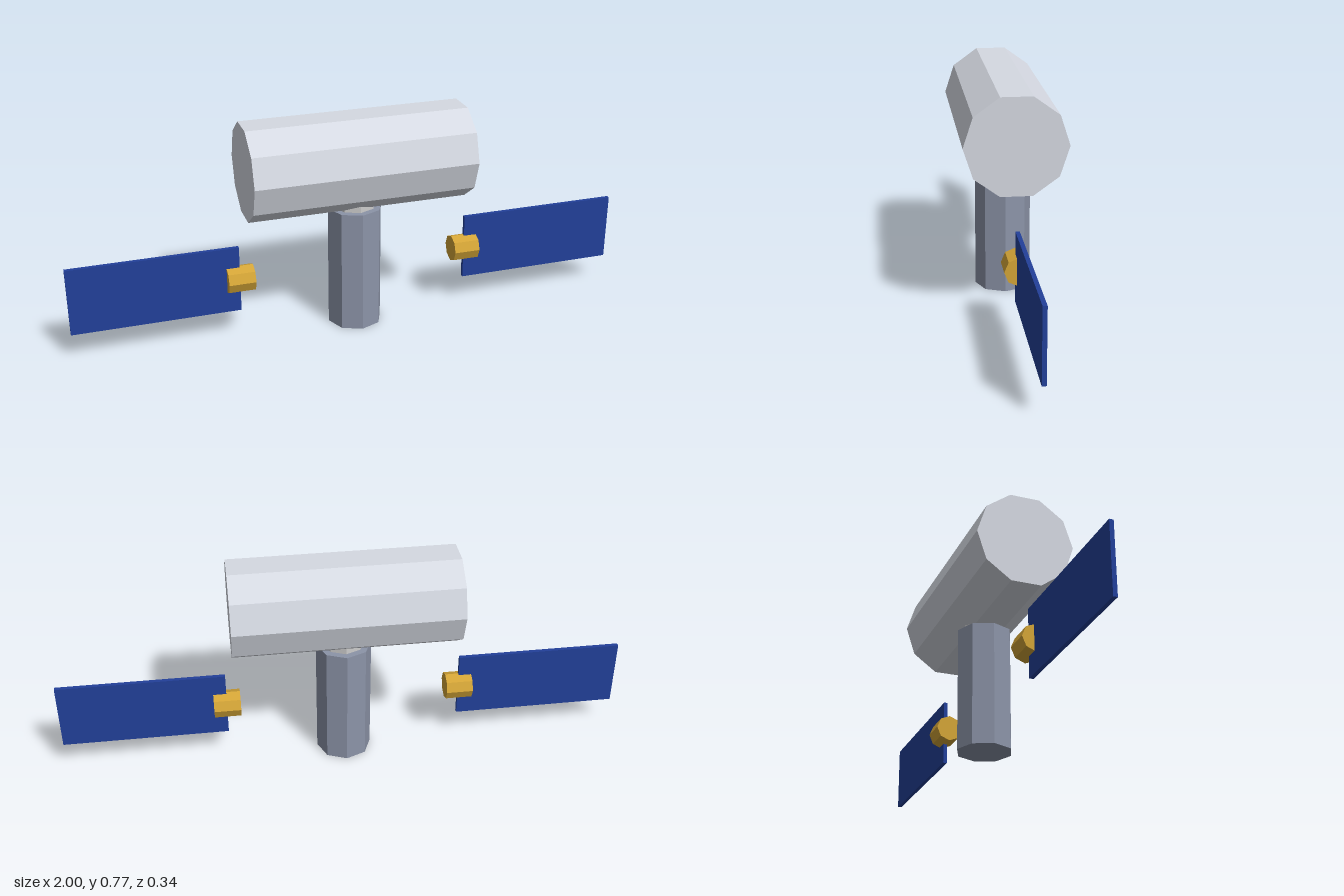
import * as THREE from 'three';

const mat = (color) => new THREE.MeshStandardMaterial({ color, flatShading: true });

export function createModel() {
  const model = new THREE.Group();
  model.name = 'spaceStation';
  const hull = mat(0xd5d9e2);
  const steel = mat(0x8c94a8);
  const ringGrey = mat(0xcccccc);
  const gold = mat(0xd4a537);
  const blue = mat(0x22409a);

  const add = (name, geometry, material, x, y) => {
    const mesh = new THREE.Mesh(geometry, material);
    mesh.name = name;
    mesh.position.set(x, y, 0);
    model.add(mesh);
    return mesh;
  };

  // Ten-sided main module lying along x
  add('mainModule', new THREE.CylinderGeometry(0.17, 0.17, 0.78, 10).rotateZ(Math.PI / 2), hull, 0, 0.61);

  // Upright module and the short neck joining it to the main one
  add('lowerModule', new THREE.CylinderGeometry(0.097, 0.097, 0.44, 8), steel, 0, 0.22);
  add('dockingNeck', new THREE.CylinderGeometry(0.073, 0.073, 0.06, 8), ringGrey, 0, 0.46);

  // Mirrored solar wings, each with its rotary joint
  for (const [side, s] of [['left', 1], ['right', -1]]) {
    add(side + 'WingJoint', new THREE.CylinderGeometry(0.048, 0.048, 0.094, 8).rotateZ(Math.PI / 2), gold, s * 0.415, 0.22);
    add(side + 'SolarPanel', new THREE.BoxGeometry(0.584, 0.24, 0.014), blue, s * 0.708, 0.22);
  }

  return model;
}
